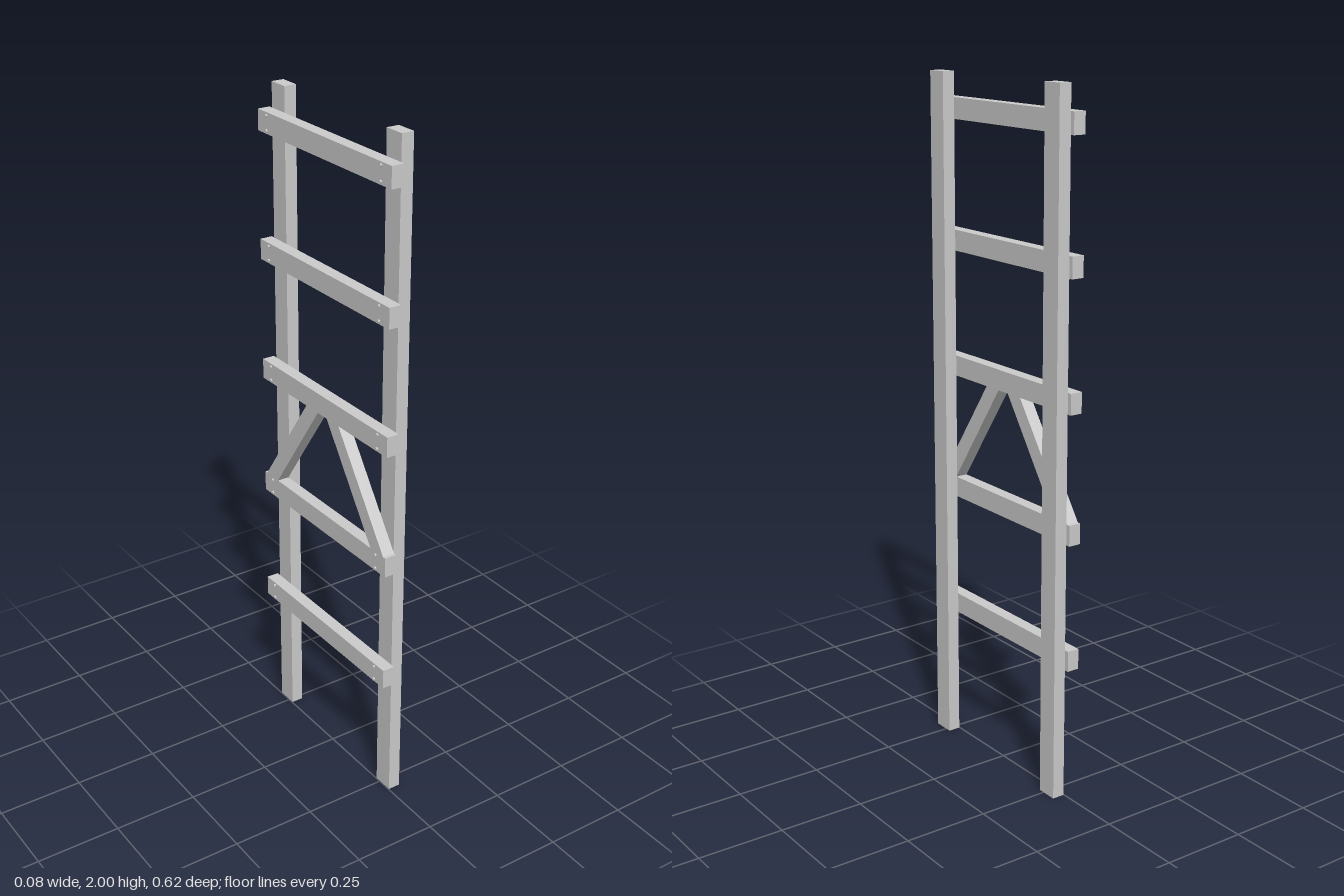
import * as THREE from 'three';

export function createModel() {
  const group = new THREE.Group();
  const material = new THREE.MeshStandardMaterial({ color: 0xcccccc, flatShading: true });
  const add = (name, geometry, x, y, z) => {
    const mesh = new THREE.Mesh(geometry, material);
    mesh.name = name;
    mesh.position.set(x, y, z);
    group.add(mesh);
    return mesh;
  };

  const depth = 0.037;      // thickness of every timber along x
  const postZ = 0.264;
  const rungHeight = 0.06;
  const rungYs = [0.417, 0.788, 1.159, 1.527, 1.898];

  // Two upright posts
  const postGeometry = new THREE.BoxGeometry(depth, 2, 0.063);
  for (const s of [1, -1]) add('post', postGeometry, 0.02, 1, s * postZ);

  // Rungs fixed to one face of the posts, with two nail heads at each joint
  const rungGeometry = new THREE.BoxGeometry(depth, rungHeight, 0.616);
  const nailGeometry = new THREE.CylinderGeometry(0.0045, 0.0045, 0.01, 10).rotateZ(Math.PI / 2);
  for (const y of rungYs) {
    add('rung', rungGeometry, -0.0175, y, 0);
    for (const s of [1, -1]) {
      for (const dy of [-0.021, 0.021]) add('nail', nailGeometry, -0.036, y + dy, s * postZ);
    }
  }

  // Slanted braces with level-cut ends, between the second and third rungs
  const bottom = rungYs[1] + rungHeight / 2;
  const top = rungYs[2] - rungHeight / 2;
  for (const s of [1, -1]) {
    const outline = [[0.022, top], [0.08, top], [0.298, bottom], [0.238, bottom]];
    // shape x becomes -z once the extrusion is turned to run along +x
    const shape = new THREE.Shape(outline.map(([z, y]) => new THREE.Vector2(-s * z, y)));
    const geometry = new THREE.ExtrudeGeometry(shape, { depth, bevelEnabled: false });
    geometry.rotateY(Math.PI / 2);
    add('brace', geometry, -0.036, 0, 0);
  }

  return group;
}
